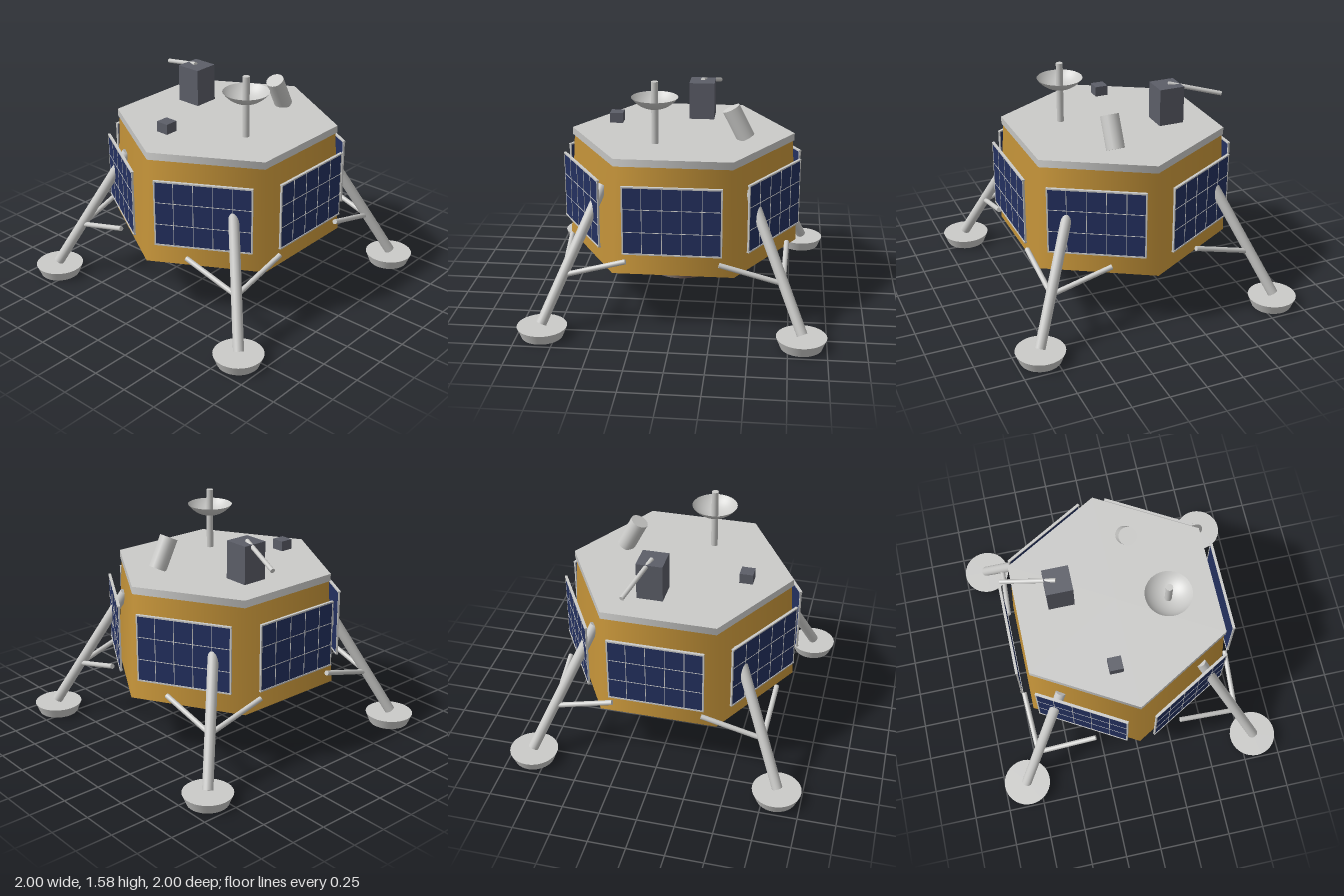
import * as THREE from 'three';

const mat = (name, color, side = THREE.FrontSide) => {
  const m = new THREE.MeshStandardMaterial({ color, side });
  m.name = name;
  return m;
};

export function createModel() {
  const gold = mat('gold foil', 0xc8963a);
  const silver = mat('silver', 0xcbcbc9, THREE.DoubleSide);
  const blue = mat('solar blue', 0x23305f);
  const dark = mat('dark grey', 0x5c5e68);
  const brown = mat('nozzle brown', 0x4c3c36, THREE.DoubleSide);

  const model = new THREE.Group();
  model.name = 'lander';

  const add = (parent, name, geo, material, x = 0, y = 0, z = 0) => {
    const mesh = new THREE.Mesh(geo, material);
    mesh.name = name;
    mesh.position.set(x, y, z);
    parent.add(mesh);
    return mesh;
  };
  const box = (w, h, d) => new THREE.BoxGeometry(w, h, d);

  // Round bar between two points
  const bar = (parent, name, a, b, r, material) => {
    const p = new THREE.Vector3(...a), q = new THREE.Vector3(...b);
    const dir = q.clone().sub(p);
    const mesh = add(parent, name, new THREE.CylinderGeometry(r, r, dir.length(), 20), material);
    mesh.position.copy(p).add(q).multiplyScalar(0.5);
    mesh.quaternion.setFromUnitVectors(new THREE.Vector3(0, 1, 0), dir.normalize());
    return mesh;
  };

  // Hexagonal hull, deck and engine
  add(model, 'body', new THREE.CylinderGeometry(0.745, 0.79, 0.72, 6), gold, 0, 0.75, 0);
  add(model, 'deck', new THREE.CylinderGeometry(0.757, 0.757, 0.05, 6), silver, 0, 1.135, 0);
  add(model, 'engineNozzle', new THREE.CylinderGeometry(0.125, 0.23, 0.24, 40, 1, true), brown, 0, 0.28, 0);

  // Six solar panels, one on each side of the hull
  const W = 0.64, H = 0.46, F = 0.01;
  for (let i = 0; i < 6; i++) {
    const arm = new THREE.Group();
    arm.name = 'solarPanel';
    arm.rotation.y = Math.PI / 6 + (i * Math.PI) / 3;
    const panel = new THREE.Group();
    panel.name = 'panelParts';
    panel.position.set(0, 0.78, 0.738);
    arm.add(panel);
    model.add(arm);
    add(panel, 'cells', box(W - F, H - F, 0.01), blue);
    for (const s of [-1, 1]) {
      add(panel, 'frameSide', box(F, H, 0.012), silver, s * (W - F) / 2, 0, 0);
      add(panel, 'frameRail', box(W, F, 0.018), silver, 0, s * (H - F) / 2, 0);
      add(panel, 'rowLine', box(W - F, 0.004, 0.002), silver, 0, s * H / 6, 0.006);
    }
    for (const c of [-1.5, -0.5, 0.5, 1.5]) {
      add(panel, 'columnLine', box(0.004, H - F, 0.002), silver, c * W / 5, 0, 0.006);
    }
  }

  // Four legs with footpads and paired side struts
  for (const sx of [-1, 1]) {
    for (const sz of [-1, 1]) {
      const leg = new THREE.Group();
      leg.name = 'leg';
      model.add(leg);
      add(leg, 'footpad', new THREE.CylinderGeometry(0.163, 0.135, 0.07, 36), silver, sx * 0.837, 0.035, sz * 0.837);
      bar(leg, 'mainLeg', [sx * 0.84, 0.085, sz * 0.84], [sx * 0.475, 0.92, sz * 0.475], 0.035, silver);
      bar(leg, 'strutFront', [sx * 0.71, 0.375, sz * 0.71], [sx * 0.3, 0.492, sz * 0.725], 0.017, silver);
      bar(leg, 'strutSide', [sx * 0.71, 0.375, sz * 0.71], [sx * 0.725, 0.492, sz * 0.3], 0.017, silver);
    }
  }

  // Dish antenna on its mast
  const R = 0.186, rim = Math.asin(0.153 / R);
  const bowl = [];
  for (let i = 0; i <= 10; i++) {
    const a = (rim * i) / 10;
    bowl.push(new THREE.Vector2(R * Math.sin(a), R * (1 - Math.cos(a))));
  }
  add(model, 'dish', new THREE.LatheGeometry(bowl, 40), silver, 0.307, 1.392, 0.153);
  bar(model, 'mast', [0.307, 1.15, 0.153], [0.307, 1.575, 0.153], 0.023, silver);

  // Deck instruments
  add(model, 'instrumentBox', box(0.175, 0.26, 0.175), dark, -0.36, 1.287, -0.107);
  add(model, 'smallBox', box(0.09, 0.07, 0.09), dark, -0.105, 1.215, 0.463);
  bar(model, 'instrumentArm', [-0.37, 1.42, -0.107], [-0.72, 1.333, -0.21], 0.015, silver);
  bar(model, 'tiltedCanister', [0.152, 1.168, -0.435], [0.152, 1.366, -0.334], 0.061, silver);

  return model;
}
